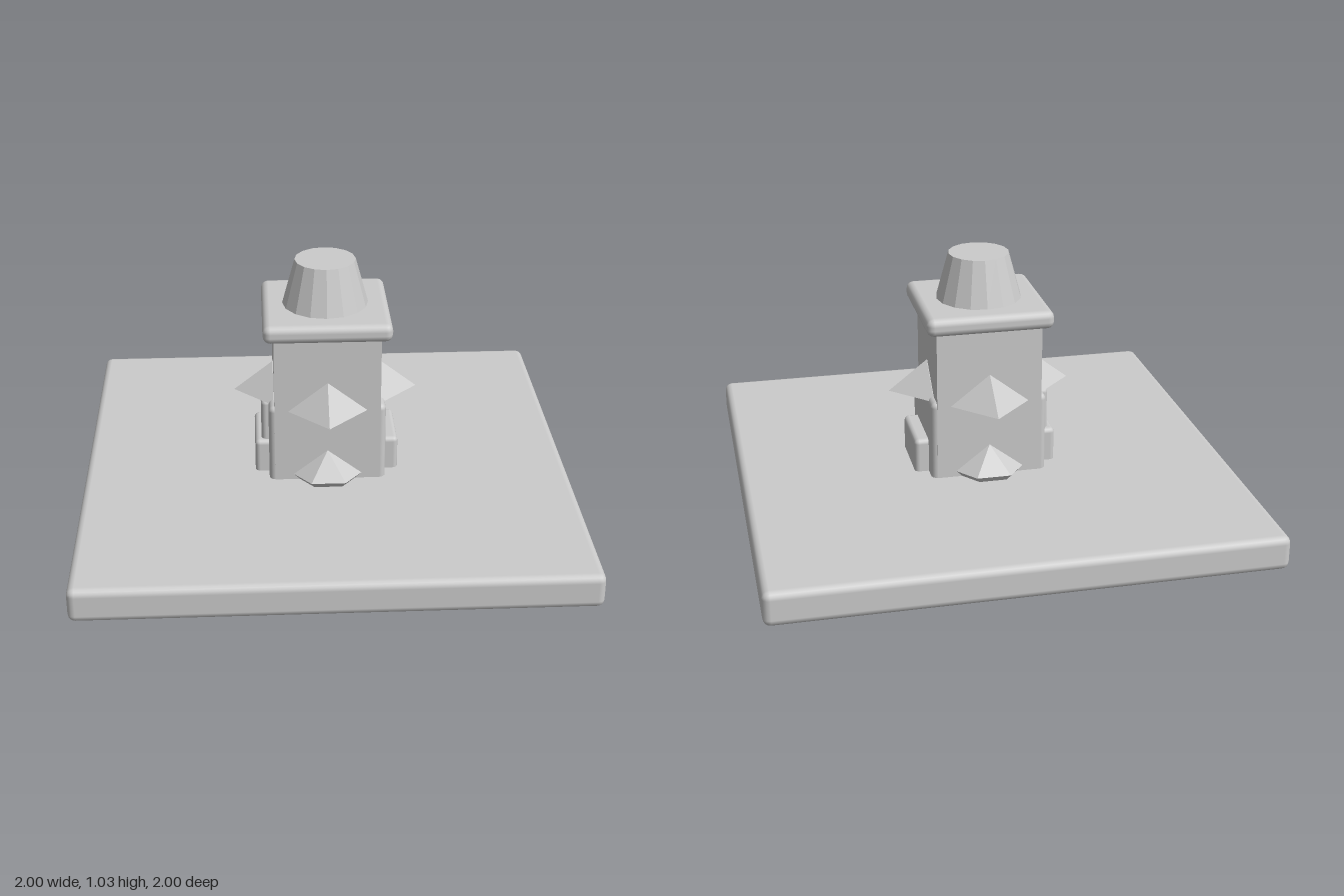
import * as THREE from 'three';
import { RoundedBoxGeometry } from 'three/addons/geometries/RoundedBoxGeometry.js';

export function createModel() {
  const model = new THREE.Group();
  const smooth = new THREE.MeshStandardMaterial({ color: 0xcccccc });
  const flat = new THREE.MeshStandardMaterial({ color: 0xcccccc, flatShading: true });

  const add = (name, geometry, material, x, y, z, parent = model) => {
    const mesh = new THREE.Mesh(geometry, material);
    mesh.name = name;
    mesh.position.set(x, y, z);
    parent.add(mesh);
    return mesh;
  };
  // Bevelled block given by its extents, from y0 up to y1
  const block = (name, w, d, y0, y1, r, x = 0, z = 0) =>
    add(name, new RoundedBoxGeometry(w, y1 - y0, d, 2, r), smooth, x, (y0 + y1) / 2, z);

  // Ground slab and tower
  block('baseSlab', 2, 2, 0, 0.14, 0.03);
  add('towerBody', new THREE.BoxGeometry(0.43, 0.66, 0.43), flat, 0, 0.46, 0);
  block('lowerCladding', 0.476, 0.426, 0.1, 0.47, 0.025);
  block('roofSlab', 0.515, 0.515, 0.765, 0.84, 0.03);
  add('chimney', new THREE.CylinderGeometry(0.123, 0.175, 0.19, 16), flat, 0, 0.932, 0);

  // Side steps, with a tall panel on one side only
  for (const s of [-1, 1]) block(s > 0 ? 'leftStep' : 'rightStep', 0.12, 0.275, 0.1, 0.28, 0.02, s * 0.235);
  block('rightPanel', 0.1, 0.24, 0.1, 0.455, 0.02, -0.218);

  // Pyramid awnings centred on each wall
  const awning = new THREE.ConeGeometry(0.16, 0.125, 4);
  for (let i = 0; i < 4; i++) {
    const a = i * Math.PI / 2;
    add('awning', awning, flat, 0.217 * Math.sin(a), 0.516, 0.217 * Math.cos(a));
  }

  // Low pointed hoods on the front and back, with a tapered underside
  const hoodTop = new THREE.ConeGeometry(0.139, 0.107, 6).rotateY(Math.PI / 6);
  const hoodFoot = new THREE.CylinderGeometry(0.139, 0.11, 0.027, 6).rotateY(Math.PI / 6);
  for (const s of [1, -1]) {
    const hood = new THREE.Group();
    hood.name = s > 0 ? 'frontHood' : 'backHood';
    hood.position.z = s * 0.215;
    hood.scale.z = 0.72;
    add('hoodTop', hoodTop, flat, 0, 0.2175, 0, hood);
    add('hoodFoot', hoodFoot, flat, 0, 0.1505, 0, hood);
    model.add(hood);
  }
  return model;
}
